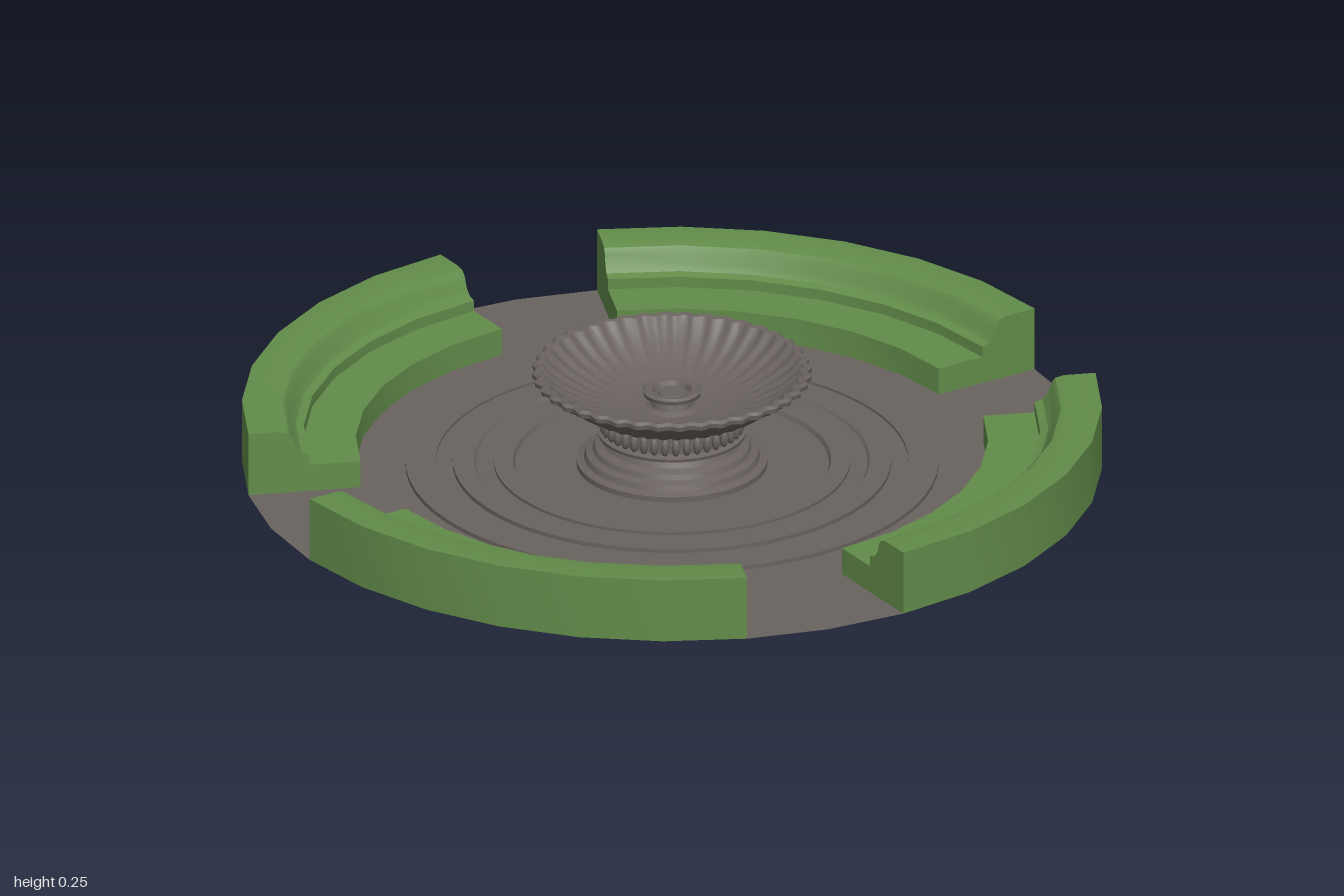
import * as THREE from 'three';
import { toCreasedNormals, mergeGeometries } from 'three/addons/utils/BufferGeometryUtils.js';

const stone = new THREE.MeshStandardMaterial({ name: 'greyStone', color: 0x6a6360, side: THREE.DoubleSide });
const green = new THREE.MeshStandardMaterial({ name: 'hedgeGreen', color: 0x628c4a, side: THREE.DoubleSide });
const STEP = Math.PI / 16; // the plaza is a 32-sided polygon
const FLUTES = 40;

const points = (list) => list.map(([r, y]) => new THREE.Vector2(r, y));

function add(parent, name, geometry, material) {
  const mesh = new THREE.Mesh(geometry, material);
  mesh.name = name;
  parent.add(mesh);
  return mesh;
}

// Turned part with sharp edges kept; depth(r, y) carves flutes around the axis
function turned(profile, segments, depth) {
  const geo = new THREE.LatheGeometry(points(profile), segments);
  if (depth) {
    const p = geo.attributes.position;
    for (let i = 0; i < p.count; i++) {
      const x = p.getX(i), z = p.getZ(i), r = Math.hypot(x, z);
      if (r < 1e-4) continue;
      const k = 1 + (depth(r, p.getY(i)) * Math.cos(FLUTES * Math.atan2(x, z))) / r;
      p.setX(i, x * k);
      p.setZ(i, z * k);
    }
  }
  return toCreasedNormals(geo, 0.6);
}

// Paving: reaches the rim at the four openings, stops under the benches elsewhere
function pavingGeometry() {
  const pts = [];
  const put = (i, r) => pts.push(new THREE.Vector2(r * Math.cos(i * STEP), r * Math.sin(i * STEP)));
  for (let i = 0; i < 32; i++) {
    const m = i % 8;
    if (m === 7) put(i, 0.86);
    put(i, m === 7 || m < 2 ? 1 : 0.86);
    if (m === 1) put(i, 0.86);
  }
  const shape = new THREE.Shape(pts);
  const hole = [];
  for (let i = 0; i < 64; i++) hole.push(new THREE.Vector2(0.62, 0).rotateAround(new THREE.Vector2(), i * STEP / 2));
  shape.holes.push(new THREE.Path(hole));
  return new THREE.ShapeGeometry(shape).rotateX(-Math.PI / 2);
}

// Curved bench: seat plus a back with a hollow moulding, open underneath
function benchGeometry() {
  const profile = [[1, 0], [1, 0.155], [0.925, 0.155], [0.905, 0.15], [0.895, 0.138], [0.888, 0.115],
    [0.875, 0.098], [0.856, 0.092], [0.856, 0.066], [0.735, 0.066], [0.735, 0]];
  const body = toCreasedNormals(new THREE.LatheGeometry(points(profile), 6, STEP, 6 * STEP), 0.6);
  const caps = [STEP, 7 * STEP].map((a) =>
    new THREE.ShapeGeometry(new THREE.Shape(points(profile))).rotateY(a - Math.PI / 2).toNonIndexed());
  return mergeGeometries([body, ...caps]);
}

export function createModel() {
  const model = new THREE.Group();
  model.name = 'fountainPlaza';

  // Floor with low concentric steps
  add(model, 'paving', pavingGeometry(), stone);
  add(model, 'ringSteps', turned([[0.62, 0], [0.62, 0.01], [0.55, 0.01], [0.55, 0.004], [0.51, 0.004],
    [0.51, 0.014], [0.46, 0.014], [0.455, 0.007], [0.415, 0.007], [0.415, 0.014], [0.37, 0.014],
    [0.365, 0.003], [0, 0.003]], 64), stone);

  // Four benches
  const bench = benchGeometry();
  for (let i = 0; i < 4; i++) add(model, 'bench', bench, green).rotation.y = i * Math.PI / 2;

  const fountain = new THREE.Group();
  fountain.name = 'fountain';
  model.add(fountain);

  // Stepped base and neck
  add(fountain, 'pedestal', turned([[0.222, 0], [0.222, 0.016], [0.205, 0.022], [0.2, 0.036], [0.185, 0.042],
    [0.18, 0.054], [0.162, 0.062], [0.155, 0.076], [0.172, 0.082], [0.174, 0.09], [0.158, 0.096],
    [0.156, 0.135], [0.175, 0.14], [0.175, 0.15], [0.15, 0.155]], 48), stone);

  // Ring of small upright lobes around the neck
  const lobe = new THREE.SphereGeometry(0.011, 6, 6).scale(1, 2, 1);
  for (let i = 0; i < FLUTES; i++) {
    const a = (i / FLUTES) * Math.PI * 2;
    add(fountain, 'neckLobe', lobe, stone).position.set(0.162 * Math.sin(a), 0.115, 0.162 * Math.cos(a));
  }

  // Fluted bowl with scalloped rim: outside, lip, then inside
  add(fountain, 'bowl', turned([[0.15, 0.14], [0.185, 0.147], [0.215, 0.16], [0.245, 0.18], [0.275, 0.203],
    [0.3, 0.217], [0.308, 0.226], [0.32, 0.229], [0.322, 0.24], [0.314, 0.246], [0.302, 0.244],
    [0.285, 0.225], [0.25, 0.198], [0.2, 0.172], [0.14, 0.155], [0.07, 0.148], [0, 0.147]], FLUTES * 6,
  (r) => 0.005 * THREE.MathUtils.smoothstep(r, 0.15, 0.22)), stone);

  // Small water spout in the middle of the bowl
  add(fountain, 'spout', turned([[0.065, 0.147], [0.05, 0.155], [0.045, 0.172], [0.066, 0.18], [0.069, 0.19],
    [0.062, 0.195], [0.046, 0.193], [0.04, 0.18], [0.034, 0.18], [0.03, 0.187], [0, 0.187]], 32), stone);

  return model;
}
